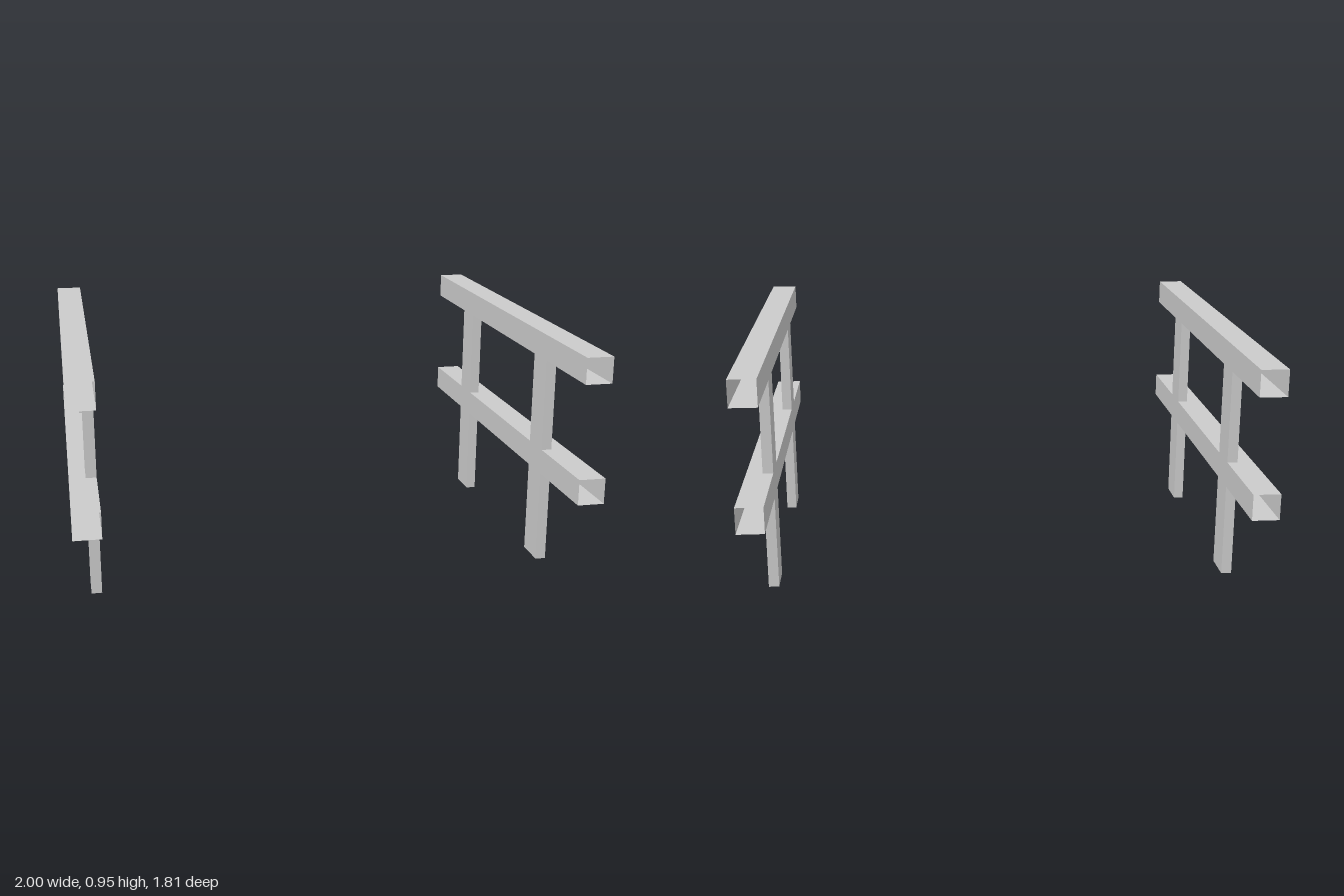
import * as THREE from 'three';

const material = new THREE.MeshStandardMaterial({
  color: 0xcccccc, flatShading: true, side: THREE.DoubleSide,
});

// Hollow rectangular tube; both ends along the given axis are left open.
function openTube(name, axis, [x0, x1], [y0, y1], [z0, z1]) {
  const geometry = new THREE.BoxGeometry(x1 - x0, y1 - y0, z1 - z0);
  const first = { x: 0, y: 12, z: 24 }[axis];
  const index = Array.from(geometry.index.array);
  index.splice(first, 12);
  geometry.setIndex(index);
  geometry.clearGroups();
  geometry.translate((x0 + x1) / 2, (y0 + y1) / 2, (z0 + z1) / 2);
  const mesh = new THREE.Mesh(geometry, material);
  mesh.name = name;
  return mesh;
}

// One railing: two long rails on two flat posts flush with the inner side.
function createRailing(name, side) {
  const railing = new THREE.Group();
  railing.name = name;
  const span = (a, b) => (side > 0 ? [a, b] : [-b, -a]);
  const railX = span(0.895, 1);
  const postX = span(0.895, 0.936);

  railing.add(openTube('topRail', 'z', railX, [0.848, 0.951], [-0.907, 0.907]));
  railing.add(openTube('middleRail', 'z', railX, [0.374, 0.476], [-0.907, 0.907]));
  railing.add(openTube('frontPost', 'y', postX, [0, 0.848], [0.39, 0.523]));
  railing.add(openTube('backPost', 'y', postX, [0, 0.848], [-0.523, -0.39]));
  return railing;
}

export function createModel() {
  const model = new THREE.Group();
  model.name = 'railings';
  model.add(createRailing('leftRailing', 1), createRailing('rightRailing', -1));
  return model;
}
